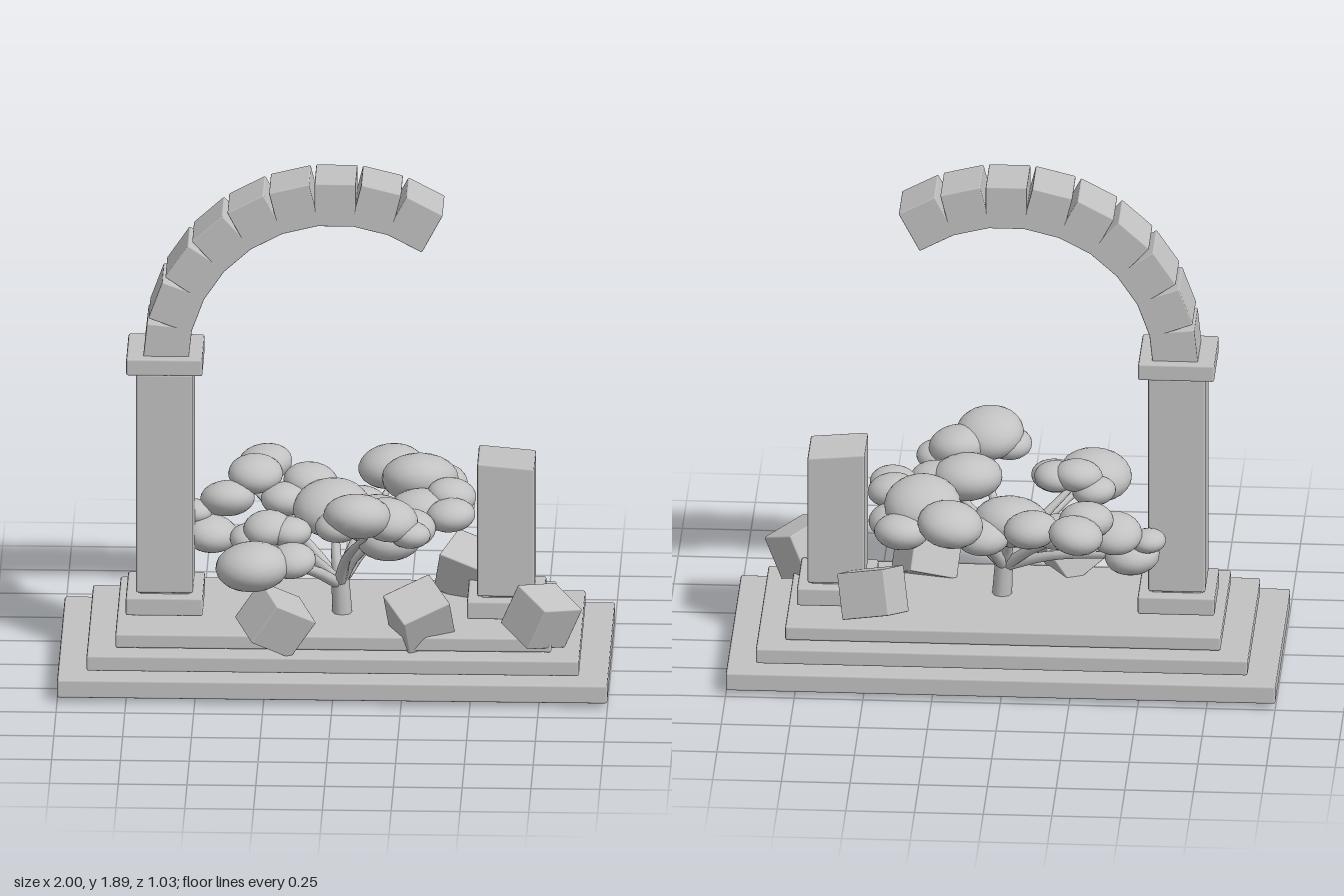
import * as THREE from 'three';
import { RoundedBoxGeometry } from 'three/addons/geometries/RoundedBoxGeometry.js';

export function createModel() {
  const root = new THREE.Group();
  root.name = 'ruinedArchWithTree';
  const stone = new THREE.MeshStandardMaterial({ color: 0xc2c2c2 });
  stone.name = 'pale grey';
  const Z = -0.045; // centre line of the masonry

  const add = (name, geo, parent = root) => {
    const m = new THREE.Mesh(geo, stone);
    m.name = name;
    parent.add(m);
    return m;
  };
  // Bevelled block from x centre, y range, width and depth
  const block = (name, x, y0, y1, w, d, r = 0.008) => {
    const m = add(name, new RoundedBoxGeometry(w, y1 - y0, d, 1, r));
    m.position.set(x, (y0 + y1) / 2, Z);
    return m;
  };

  // Stepped base
  block('lowerStep', 0, 0.02, 0.09, 2, 0.89);
  block('middleStep', 0, 0.1, 0.16, 1.79, 0.755);
  block('upperStep', 0, 0.165, 0.22, 1.585, 0.615);
  block('stepCore', 0, 0.05, 0.2, 1.5, 0.55);

  // Columns: one whole, one broken with a sloping top
  for (const s of [-1, 1]) block('columnPlinth', s * 0.62, 0.23, 0.3, 0.28, 0.285);
  for (const s of [-1, 1]) block('plinthCore', s * 0.62, 0.2, 0.32, 0.18, 0.19);
  block('wholeColumn', -0.62, 0.305, 1.15, 0.208, 0.21);
  block('columnCapital', -0.62, 1.157, 1.222, 0.277, 0.28);
  block('capitalCore', -0.62, 1.13, 1.2, 0.18, 0.19);
  const broken = block('brokenColumn', 0.62, 0.305, 0.81, 0.208, 0.21);
  const p = broken.geometry.attributes.position;
  for (let i = 0; i < p.count; i++) {
    if (p.getY(i) > 0) p.setY(i, p.getY(i) - p.getX(i) * 0.09);
  }

  // Broken arch of wedge-spaced blocks
  const arch = new THREE.Group();
  arch.name = 'brokenArch';
  root.add(arch);
  for (let i = 0; i < 9; i++) {
    const a = THREE.MathUtils.degToRad(174 - i * 14);
    const m = add('archStone', new RoundedBoxGeometry(0.165, 0.15, 0.21, 1, 0.005), arch);
    m.position.set(0.613 * Math.cos(a), 1.2 + 0.613 * Math.sin(a), Z);
    m.rotation.z = a;
  }

  // Fallen stones: position, then rotation
  [
    [-0.21, 0.285, 0.27, 0.3, 0.4, -0.65],
    [0.31, 0.285, 0.2, 0.45, 0.5, 0.12],
    [0.755, 0.29, 0.215, 0.45, 0.65, -0.5],
    [0.48, 0.31, -0.23, 0.3, -0.4, -0.15],
  ].forEach(([x, y, z, a, b, c]) => {
    const m = add('fallenStone', new RoundedBoxGeometry(0.19, 0.17, 0.17, 1, 0.005));
    m.position.set(x, y, z);
    m.rotation.set(a, b, c);
  });

  // Tree: tapering trunk and branches
  const tree = new THREE.Group();
  tree.name = 'tree';
  root.add(tree);
  const limb = (name, pts, r0, r1) => {
    const curve = new THREE.CatmullRomCurve3(pts.map((q) => new THREE.Vector3(...q)));
    const n = 8, sides = 8;
    const g = new THREE.TubeGeometry(curve, n, 1, sides);
    const pos = g.attributes.position, v = new THREE.Vector3();
    for (let i = 0; i < pos.count; i++) {
      const t = Math.floor(i / (sides + 1)) / n;
      const c = curve.getPointAt(t);
      v.fromBufferAttribute(pos, i).sub(c).multiplyScalar(r0 + (r1 - r0) * t).add(c);
      pos.setXYZ(i, v.x, v.y, v.z);
    }
    add(name, g, tree);
  };
  limb('trunk', [[0.03, 0.003, 0], [0.025, 0.2, 0], [0.015, 0.38, 0]], 0.042, 0.032);
  [
    [-0.26, 0.52, 0.33], [-0.25, 0.6, 0.19], [-0.3, 0.58, -0.28], [-0.45, 0.47, -0.2],
    [0.12, 0.62, 0.3], [0.2, 0.57, 0.12], [0.2, 0.6, -0.34], [0.33, 0.6, -0.2],
    [0.0, 0.53, -0.14],
  ].forEach(([x, y, z]) =>
    limb('branch', [[0.015, 0.33, 0], [x * 0.35, 0.36 + (y - 0.36) * 0.4, z * 0.35], [x, y, z]], 0.024, 0.01));

  // Foliage: x, y, z, radius of each flattened clump
  [
    [-0.27, 0.64, -0.42, 0.1], [-0.3, 0.645, -0.29, 0.1], [-0.4, 0.57, -0.23, 0.1],
    [-0.52, 0.53, -0.2, 0.065], [-0.46, 0.455, -0.17, 0.1], [-0.19, 0.57, -0.23, 0.09],
    [-0.1, 0.61, -0.31, 0.1], [-0.02, 0.57, -0.15, 0.14], [0.08, 0.55, -0.24, 0.1],
    [0.19, 0.65, -0.37, 0.12], [0.37, 0.6, -0.33, 0.1], [0.3, 0.66, -0.22, 0.14],
    [0.4, 0.57, -0.17, 0.1], [0.42, 0.65, -0.07, 0.09], [0.31, 0.6, -0.04, 0.12],
    [-0.3, 0.56, 0.17, 0.08], [-0.24, 0.61, 0.19, 0.09], [-0.16, 0.6, 0.2, 0.08],
    [-0.29, 0.53, 0.38, 0.135], [-0.15, 0.54, 0.34, 0.09],
    [0.09, 0.71, 0.33, 0.125], [0.02, 0.67, 0.33, 0.085], [0.2, 0.68, 0.28, 0.11],
    [0.28, 0.63, 0.3, 0.075], [0.16, 0.62, 0.13, 0.13], [0.27, 0.6, 0.15, 0.1],
    [0.42, 0.62, 0.06, 0.09], [0.2, 0.58, 0.2, 0.12],
  ].forEach(([x, y, z, r], i) => {
    const m = add('foliageClump', new THREE.IcosahedronGeometry(1, 3), tree);
    m.position.set(x, y, z);
    m.scale.set(r, r * 0.66, r);
    m.rotation.set(0.15 * Math.sin(i * 2.1), i, 0.15 * Math.cos(i * 1.7));
  });
  return root;
}
